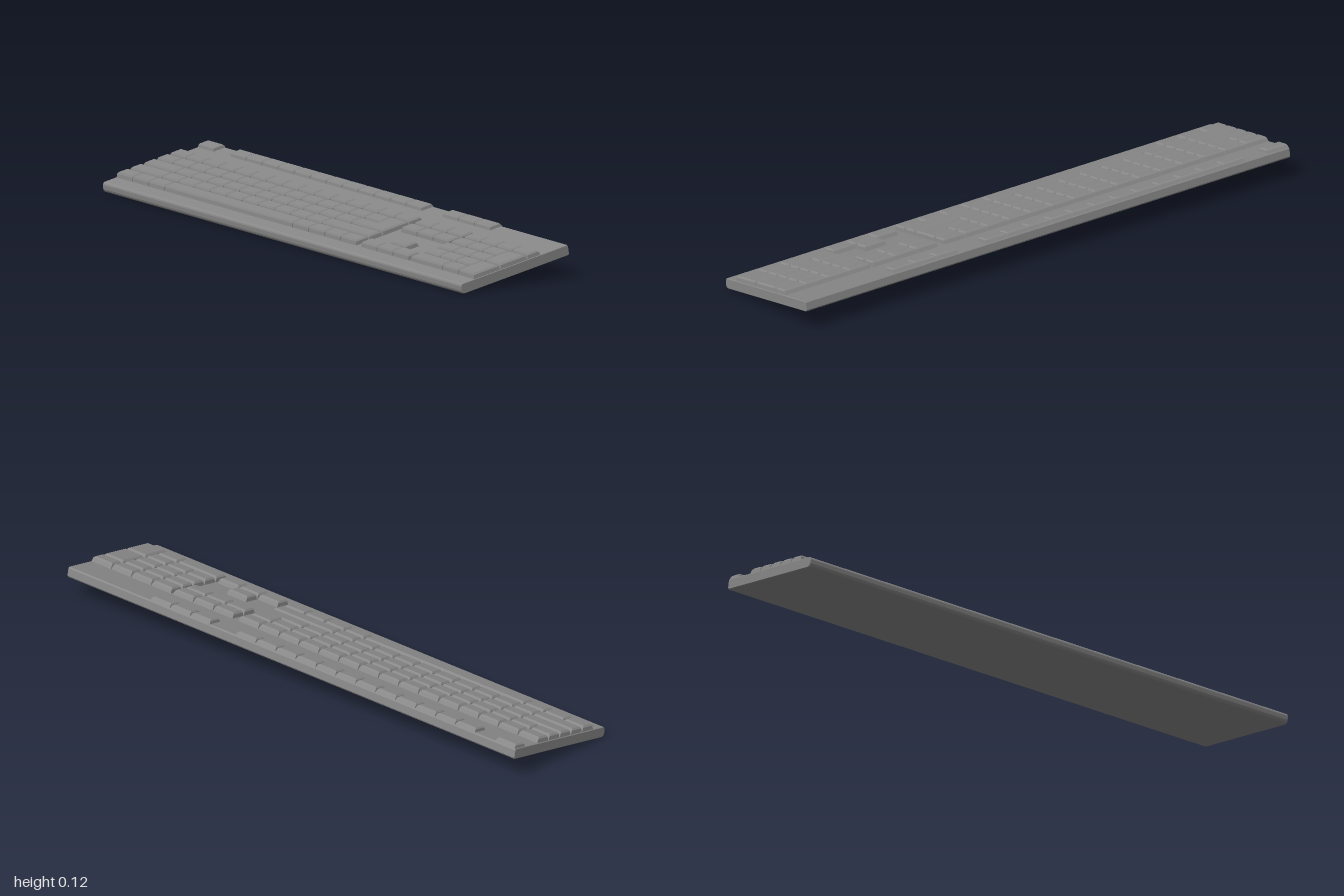
import * as THREE from 'three';

const UNIT = 0.0893;      // one key width
const ROW = 0.0555;       // row depth
const PLATE = 0.036;      // case thickness
const BACK_Z = -0.1135;   // rear edge of the main key block

const material = new THREE.MeshStandardMaterial({ color: 0x888888, flatShading: true });

// Keycap: steep sides with a chamfered top, sloping more at front and back
function keycap(name, x0, x1, z0, z1, height) {
  const gap = 0.001;
  const geo = new THREE.BoxGeometry(x1 - x0 - gap * 2, height, z1 - z0 - gap, 1, 2, 1);
  const p = geo.attributes.position;
  for (let i = 0; i < p.count; i++) {
    const t = p.getY(i) / height + 0.5;
    const insetX = t > 0.9 ? 0.007 : t * 0.004;
    p.setX(i, p.getX(i) - Math.sign(p.getX(i)) * insetX);
    p.setZ(i, p.getZ(i) + t * (p.getZ(i) > 0 ? -0.007 : 0.011));
    if (t > 0.4 && t < 0.6) p.setY(i, height * 0.2);
  }
  geo.computeVertexNormals();
  const mesh = new THREE.Mesh(geo, material);
  mesh.name = name;
  mesh.position.set((x0 + x1) / 2, PLATE + height / 2 - 0.0005, (z0 + z1) / 2);
  return mesh;
}

// Key block placed on a grid: column and row from the block's rear left corner
function block(name, left, back, height = 0.0185) {
  const group = new THREE.Group();
  group.name = name;
  const key = (col, row, w = 1, h = 1, label = 'key') => group.add(keycap(label,
    left + col * UNIT, left + (col + w) * UNIT,
    back + row * ROW, back + (row + h) * ROW, height));
  const run = (col, row, count) => {
    for (let i = 0; i < count; i++) key(col + i, row);
  };
  return { group, key, run };
}

// Case: slab with a rounded front lip, run along x
function makeCase() {
  const b = 0.002;
  const s = new THREE.Shape();
  s.moveTo(-0.212, 0);
  s.lineTo(0.222, 0);
  s.lineTo(0.226, 0.005);
  s.lineTo(0.226, 0.031);
  s.lineTo(0.222, PLATE);
  s.lineTo(-0.21, PLATE);
  s.quadraticCurveTo(-0.219, PLATE, -0.221, 0.027);
  s.lineTo(-0.222, 0.014);
  s.quadraticCurveTo(-0.221, 0.002, -0.212, 0);
  const geo = new THREE.ExtrudeGeometry(s, {
    depth: 2 - 2 * b, bevelEnabled: true, bevelSize: b, bevelThickness: b,
    bevelOffset: -b, bevelSegments: 1, curveSegments: 4,
  });
  geo.translate(0, 0, -(1 - b));
  geo.rotateY(Math.PI / 2); // shape x becomes -z, extrusion becomes x
  const mesh = new THREE.Mesh(geo, material);
  mesh.name = 'case';
  return mesh;
}

export function createModel() {
  const model = new THREE.Group();
  model.name = 'keyboard';
  const board = new THREE.Group();
  board.name = 'tiltedBoard';
  board.rotation.x = 0.1767;
  board.position.y = 0.0385;
  model.add(board);
  board.add(makeCase());

  // Main typing block, 15 units wide
  const main = block('mainKeys', -0.998, BACK_Z);
  main.run(0, 0, 15);
  main.run(0, 1, 14);
  main.key(0, 2, 2, 1, 'capsKey');
  main.run(2, 2, 11);
  main.key(0, 3, 2, 1, 'leftShiftKey');
  main.run(2, 3, 10);
  main.key(12, 3, 3, 1, 'rightShiftKey');
  main.run(0, 4, 3);
  main.key(3, 4, 8, 1, 'spaceBar');
  main.run(11, 4, 4);
  // L-shaped enter key
  main.key(14, 1, 1, 2, 'enterKey');
  main.key(13, 2, 2, 1, 'enterKeyFoot');

  // Lower row of keys along the rear edge
  const top = block('topRowKeys', -0.998, -0.226, 0.014);
  top.key(0, 0, 1, 0.94, 'escapeKey');
  for (let i = 0; i < 12; i++) top.key(2 + i, 0, 1, 0.94);
  for (let i = 0; i < 3; i++) top.key(15.28 + i, 0, 1, 0.94);

  // Navigation keys and arrows
  const nav = block('navigationKeys', 0.366, BACK_Z);
  nav.run(0, 0, 3);
  nav.run(0, 1, 3);
  nav.key(1, 3, 1, 1, 'upArrowKey');
  nav.run(0, 4, 3);

  // Number pad
  const pad = block('numberPad', 0.642, BACK_Z);
  pad.run(0, 0, 4);
  for (let r = 1; r < 4; r++) pad.run(0, r, 3);
  pad.key(0, 4, 2, 1, 'zeroKey');
  pad.key(2, 4);
  pad.key(3, 1, 1, 2, 'plusKey');
  pad.key(3, 3, 1, 2, 'padEnterKey');

  board.add(main.group, top.group, nav.group, pad.group);
  return model;
}
